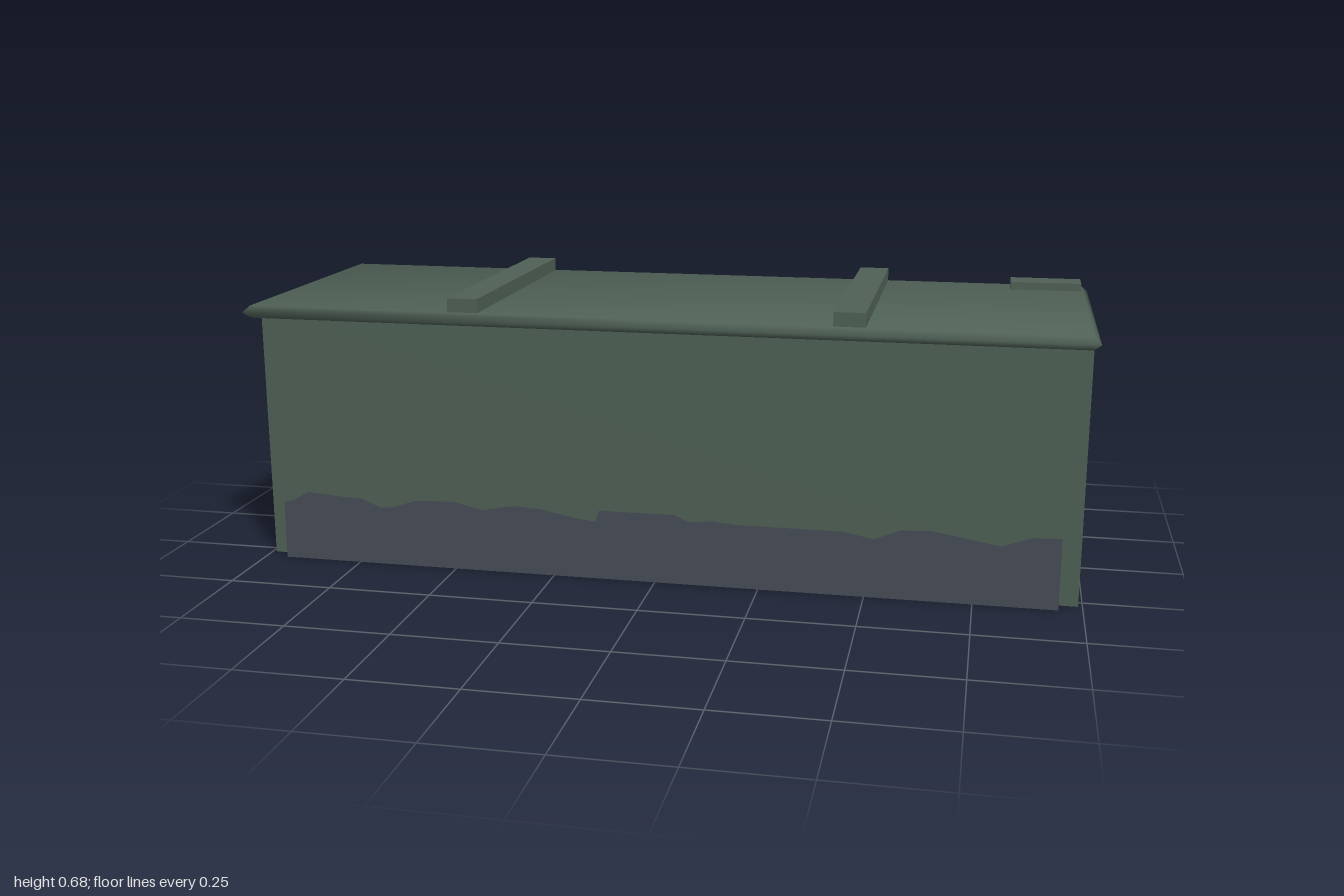
import * as THREE from 'three';
import { mergeVertices } from 'three/addons/utils/BufferGeometryUtils.js';

const green = new THREE.MeshStandardMaterial({ color: 0x4f6156, side: THREE.DoubleSide });
green.name = 'olive green';
const slate = new THREE.MeshStandardMaterial({ color: 0x474e58, side: THREE.DoubleSide });
slate.name = 'slate stain';

const HX = 0.945, HZ = 0.31, WALL_TOP = 0.62;

function box(name, x0, x1, y0, y1, z0, z1) {
  const mesh = new THREE.Mesh(new THREE.BoxGeometry(x1 - x0, y1 - y0, z1 - z0), green);
  mesh.position.set((x0 + x1) / 2, (y0 + y1) / 2, (z0 + z1) / 2);
  mesh.name = name;
  return mesh;
}

// Stain height along each wall, left to right as seen from outside
const longEdge = [
  [-0.945, 0.145], [-0.92, 0.15], [-0.88, 0.174], [-0.79, 0.167], [-0.74, 0.166], [-0.69, 0.145], [-0.66, 0.147],
  [-0.6, 0.168], [-0.5, 0.172], [-0.43, 0.155], [-0.35, 0.17], [-0.28, 0.166], [-0.2, 0.15], [-0.145, 0.143],
  [-0.135, 0.172], [0.05, 0.172], [0.08, 0.157], [0.14, 0.162], [0.2, 0.157], [0.45, 0.157], [0.52, 0.143],
  [0.58, 0.168], [0.65, 0.172], [0.75, 0.155], [0.81, 0.145], [0.88, 0.17], [0.945, 0.172],
];
const endEdge = [
  [-0.31, 0.172], [-0.275, 0.17], [-0.2, 0.148], [-0.16, 0.15], [-0.125, 0.17], [-0.06, 0.172], [-0.04, 0.16],
  [0.01, 0.15], [0.05, 0.14], [0.083, 0.138], [0.087, 0.172], [0.275, 0.172], [0.285, 0.16], [0.31, 0.155],
];

// One wall: stained strip below, clean panel above, meeting on the wavy edge
function wall(name, edge, distance, angle) {
  const group = new THREE.Group();
  const half = edge[edge.length - 1][0];
  for (const [part, y, material] of [['Stain', 0, slate], ['Panel', WALL_TOP, green]]) {
    const points = [[-half, y], ...edge, [half, y]].map(([x, h]) => new THREE.Vector2(x, h));
    const mesh = new THREE.Mesh(new THREE.ShapeGeometry(new THREE.Shape(points)), material);
    mesh.position.z = distance;
    mesh.name = name + part;
    group.add(mesh);
  }
  group.rotation.y = angle;
  group.name = name;
  return group;
}

// Lid with a pointed rim and soft normals
function makeLid() {
  let geometry = new THREE.BoxGeometry(2, 0.03, 0.716, 2, 2, 1);
  geometry.deleteAttribute('normal');
  geometry.deleteAttribute('uv');
  geometry = mergeVertices(geometry);
  const p = geometry.attributes.position;
  const normals = [];
  const n = new THREE.Vector3();
  for (let i = 0; i < p.count; i++) {
    const sx = Math.sign(p.getX(i)), sy = Math.sign(p.getY(i)), sz = Math.sign(p.getZ(i));
    if (sy !== 0) {
      p.setX(i, p.getX(i) - sx * 0.015);
      p.setZ(i, p.getZ(i) - sz * 0.015);
    }
    const spread = sy === 0 ? 1 : 0.3;
    n.set(sx * spread, sy, sz * spread).normalize();
    normals.push(n.x, n.y, n.z);
  }
  geometry.setAttribute('normal', new THREE.Float32BufferAttribute(normals, 3));
  const lid = new THREE.Mesh(geometry, green);
  lid.position.y = 0.63;
  lid.name = 'lid';
  return lid;
}

export function createModel() {
  const crate = new THREE.Group();
  crate.name = 'crate';

  // Open-bottomed body
  crate.add(
    wall('frontWall', longEdge, HZ, 0),
    wall('backWall', longEdge, HZ, Math.PI),
    wall('leftWall', endEdge, HX, Math.PI / 2),
    wall('rightWall', endEdge, HX, -Math.PI / 2),
  );

  // Posts and carrying rail on each end
  for (const [side, s] of [['left', 1], ['right', -1]]) {
    const end = new THREE.Group();
    end.name = side + 'EndFrame';
    end.add(
      box('frontPost', HX, 0.99, 0, 0.616, 0.202, 0.277),
      box('backPost', HX, 0.99, 0, 0.616, -0.277, -0.202),
      box('carryRail', HX, 0.985, 0.275, 0.35, -0.202, 0.202),
    );
    end.rotation.y = s > 0 ? 0 : Math.PI;
    crate.add(end);
  }

  // Lid, its two battens and the corner plate
  crate.add(
    makeLid(),
    box('rightBatten', -0.49, -0.417, 0.64, 0.678, -0.336, 0.336),
    box('leftBatten', 0.417, 0.49, 0.64, 0.678, -0.336, 0.336),
    box('cornerPlate', 0.805, 0.98, 0.64, 0.664, -0.338, -0.26),
  );
  return crate;
}
